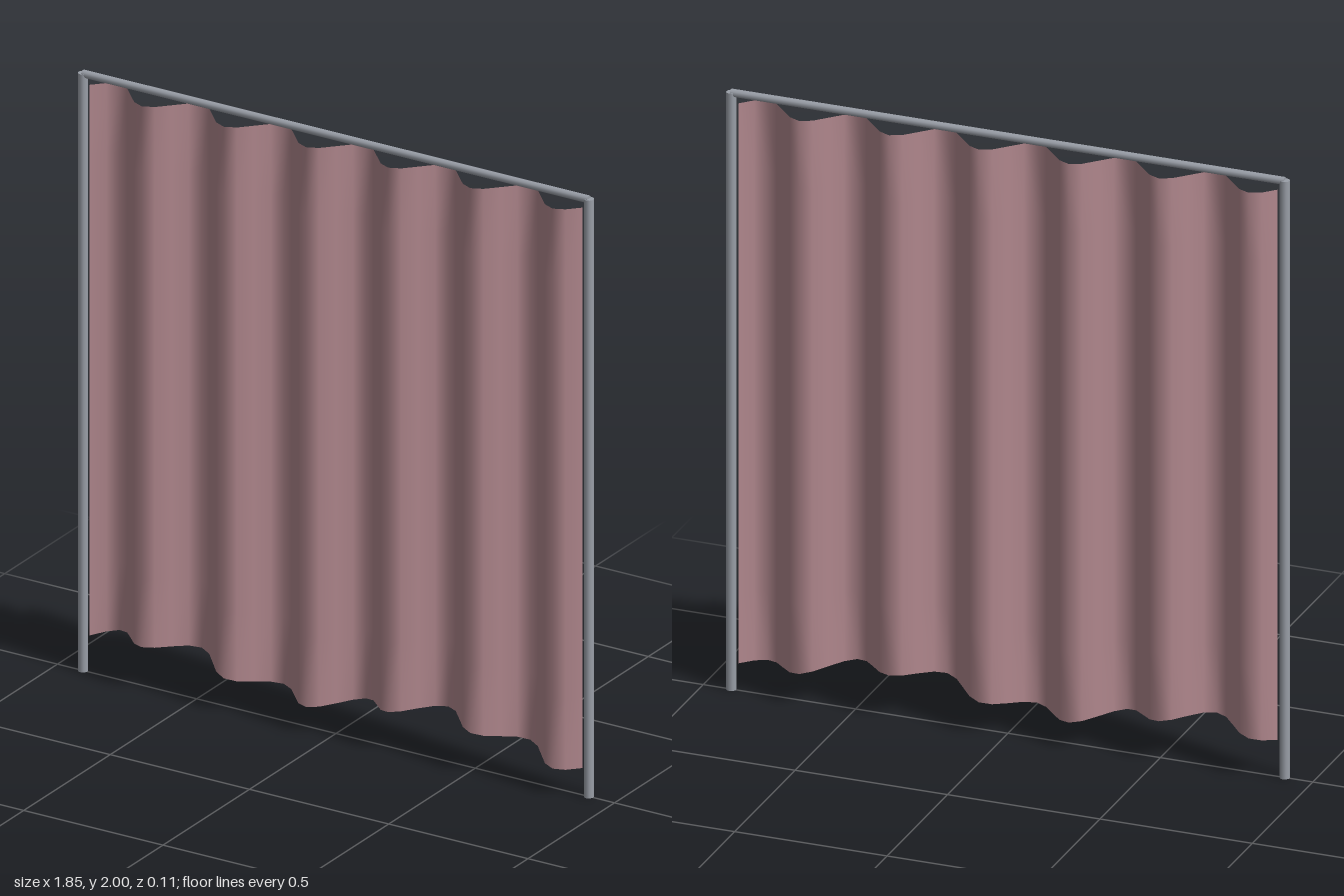
import * as THREE from 'three';

const POST_X = 0.908;   // post centre line
const HALF_W = 0.885;   // half width of the cloth
const TOP = 1.955;      // top edge of the cloth
const FOLDS = 6;
const DEPTH = 0.055;

export function createModel() {
  const metal = new THREE.MeshStandardMaterial({ color: 0x9a9fa8 });
  metal.name = 'greyMetal';
  const fabric = new THREE.MeshStandardMaterial({ color: 0xb48a90, side: THREE.DoubleSide });
  fabric.name = 'dustyRoseFabric';

  const model = new THREE.Group();
  model.name = 'curtainScreen';

  // Two upright posts
  for (const [name, side] of [['leftPost', 1], ['rightPost', -1]]) {
    const post = new THREE.Mesh(new THREE.CylinderGeometry(0.016, 0.016, 1.99, 10), metal);
    post.name = name;
    post.position.set(side * POST_X, 0.995, 0);
    model.add(post);
  }

  // Top rail joining the posts
  const rail = new THREE.Mesh(new THREE.CylinderGeometry(0.0125, 0.0125, POST_X * 2, 10), metal);
  rail.name = 'topRail';
  rail.rotation.z = Math.PI / 2;
  rail.position.y = 1.9875;
  model.add(rail);

  // Hanging cloth: vertical folds and a gently waving hem
  const cloth = new THREE.PlaneGeometry(HALF_W * 2, 1, FOLDS * 8, 8);
  const p = cloth.attributes.position;
  for (let i = 0; i < p.count; i++) {
    const x = p.getX(i);
    const u = (x + HALF_W) / (2 * HALF_W);
    const hem = 0.122 + 0.033 * Math.sin(2 * Math.PI * (x + HALF_W));
    p.setY(i, THREE.MathUtils.lerp(hem, TOP, p.getY(i) + 0.5));
    p.setZ(i, -DEPTH * Math.sin(2 * Math.PI * FOLDS * u));
  }
  cloth.computeVertexNormals();
  const curtain = new THREE.Mesh(cloth, fabric);
  curtain.name = 'curtain';
  model.add(curtain);

  return model;
}
